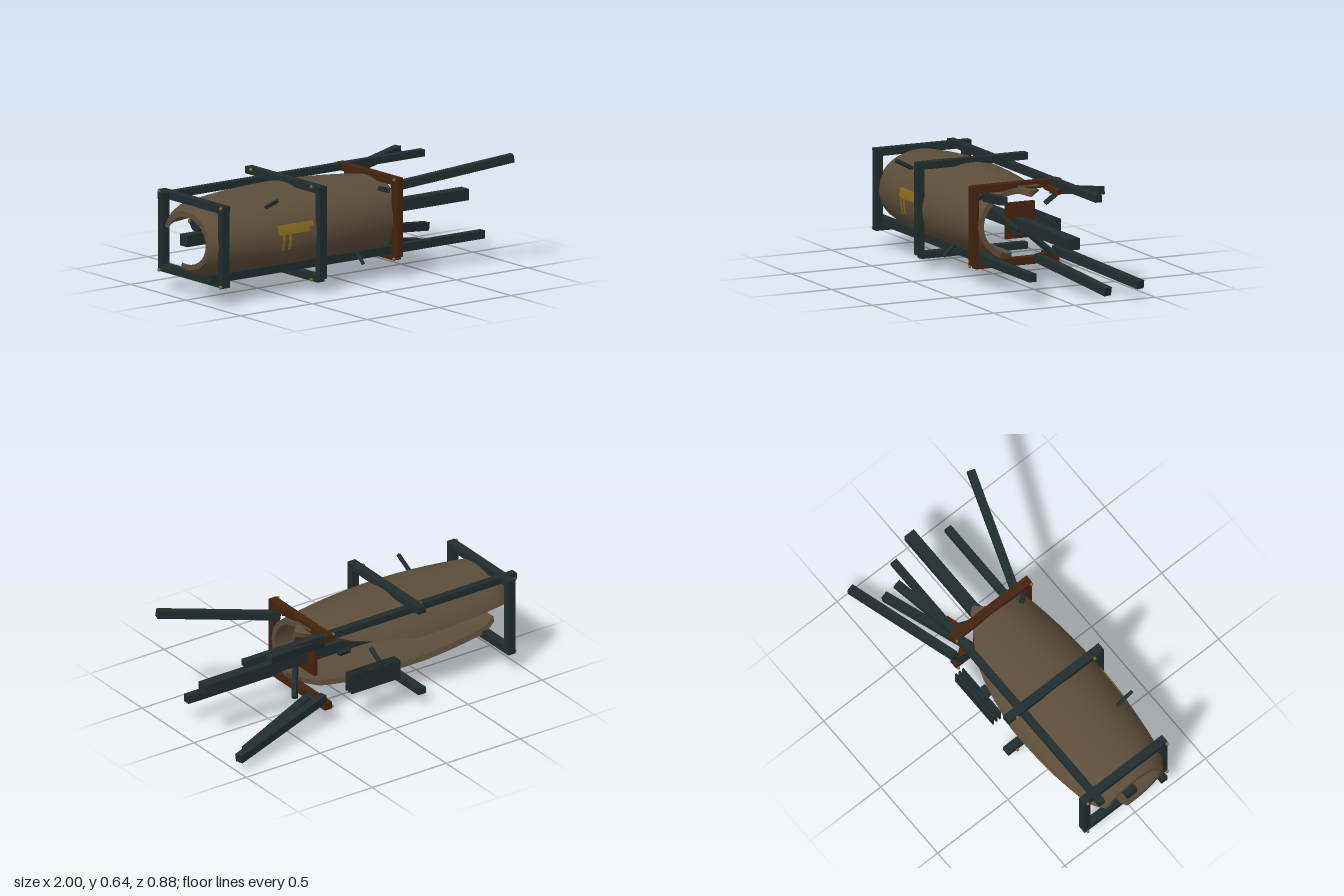
import * as THREE from 'three';
import { toCreasedNormals } from 'three/addons/utils/BufferGeometryUtils.js';

const material = (name, color, side = THREE.FrontSide) => {
  const m = new THREE.MeshStandardMaterial({ color, side });
  m.name = name;
  return m;
};

const RAD = Math.PI / 180;
const CENTRE_Y = 0.335;

// Linear interpolation through [x, value] pairs
function ramp(pairs, x) {
  for (let i = 1; i < pairs.length; i++) {
    const [x0, v0] = pairs[i - 1], [x1, v1] = pairs[i];
    if (x <= x1) return v0 + (v1 - v0) * Math.max(0, (x - x0) / (x1 - x0));
  }
  return pairs[pairs.length - 1][1];
}

// Point on the barrel hull; angle 0 faces +z and 90 degrees faces up
function hullPoint(x, angle, inset) {
  const t = (x + 0.33) / 0.65;
  const shrink = inset + Math.max(0, -0.93 - x) * 0.55;
  const rz = 0.305 - 0.065 * t * t - shrink;
  const ry = 0.245 - 0.045 * t * t - shrink;
  const c = Math.cos(angle * RAD);
  const bulge = c < 0 ? ramp([[-1, 1.03], [-0.9, 1.09], [-0.65, 1.1], [-0.3, 1.07], [0.1, 1.03], [0.3, 1]], x) : 1;
  return [x, CENTRE_Y + ry * Math.sin(angle * RAD), rz * c * bulge];
}

// Thick curved wall between two edge angles that vary along the length
function hullGeometry(xStart, xEnd, from, to, inner, outer, rows, cols) {
  const pos = [], index = [], ring = 2 * (cols + 1);
  for (let i = 0; i <= rows; i++) {
    const u = i / rows;
    const xMid = xStart + (xEnd(0) - xStart) * u;
    for (let j = 0; j < ring; j++) {
      const isOuter = j <= cols;
      const k = isOuter ? j : ring - 1 - j;
      const a = from(xMid) + (to(xMid) - from(xMid)) * k / cols;
      const x = xStart + (xEnd(a) - xStart) * u;
      pos.push(...hullPoint(x, a, isOuter ? outer : inner));
    }
  }
  for (let i = 0; i < rows; i++) {
    for (let j = 0; j < ring; j++) {
      const a = i * ring + j, b = i * ring + (j + 1) % ring;
      index.push(a, a + ring, b + ring, a, b + ring, b);
    }
  }
  const last = rows * ring;
  for (let k = 0; k < cols; k++) {
    const i0 = ring - 1 - k, i1 = ring - 2 - k;
    index.push(k, k + 1, i1, k, i1, i0);
    index.push(last + k, last + i1, last + k + 1, last + k, last + i0, last + i1);
  }
  const g = new THREE.BufferGeometry();
  g.setAttribute('position', new THREE.Float32BufferAttribute(pos, 3));
  g.setIndex(index);
  return toCreasedNormals(g, 40 * RAD);
}

export function createModel() {
  const model = new THREE.Group();
  model.name = 'wreckedHullSection';
  const metal = material('dark girder metal', 0x202c2d);
  const rust = material('rust', 0x44230e);
  const plating = material('brown plating', 0x5c4d3a, THREE.DoubleSide);
  const gold = material('gold paint', 0x866a1c);

  const add = (name, geometry, mat, parent = model) => {
    const mesh = new THREE.Mesh(geometry, mat);
    mesh.name = name;
    parent.add(mesh);
    return mesh;
  };
  // Box given by its lower and upper corners
  const block = (name, mat, a, b, parent) => {
    const mesh = add(name, new THREE.BoxGeometry(b[0] - a[0], b[1] - a[1], b[2] - a[2]), mat, parent);
    mesh.position.set((a[0] + b[0]) / 2, (a[1] + b[1]) / 2, (a[2] + b[2]) / 2);
    return mesh;
  };
  // Square bar between two points
  const beam = (name, mat, p, q, w) => {
    const a = new THREE.Vector3(...p), b = new THREE.Vector3(...q);
    const mesh = add(name, new THREE.BoxGeometry(a.distanceTo(b), w, w), mat);
    mesh.position.copy(a).lerp(b, 0.5);
    mesh.quaternion.setFromUnitVectors(new THREE.Vector3(1, 0, 0), b.sub(a).normalize());
    return mesh;
  };
  const bolt = (x, y, z) =>
    add('bolt', new THREE.SphereGeometry(0.01, 8, 6), gold).position.set(x, y, z);

  // Torn hull, open along the lower back, with a ragged tip at the broken end
  const lowerEdge = x => ramp([[-1, -104], [-0.5, -107], [0, -103], [0.17, -97], [0.305, -62]], x);
  const upperEdge = x => ramp([[-1, 162], [-0.3, 165], [0, 152], [0.1, 145], [0.2, 131], [0.305, 115]], x);
  const tornEnd = a => 0.305 + 0.055 * Math.exp(-(((a - 104) / 9) ** 2));
  add('hull', hullGeometry(-0.992, tornEnd, lowerEdge, upperEdge, 0.032, 0, 30, 40), plating);

  // Painted marking that follows the hull
  const marking = (x0, x1, a0, a1) => add('marking',
    hullGeometry(x0, () => x1, () => a0, () => a1, 0.001, -0.0025, 6, 4), gold);
  marking(-0.575, -0.34, 12, 19);
  marking(-0.575, -0.37, 6, 12);
  marking(-0.55, -0.535, -16, 6);
  marking(-0.51, -0.49, -15, 6);

  // Closed end frame
  const endFrame = new THREE.Group();
  endFrame.name = 'endFrame';
  model.add(endFrame);
  for (const y of [0.105, 0.525])
    block('crossBeam', metal, [-0.95, y, -0.318], [-0.9, y + 0.042, 0.272], endFrame);
  for (const z of [-0.297, 0.25])
    block('post', metal, [-0.949, 0.106, z - 0.021], [-0.901, 0.566, z + 0.021], endFrame);

  // Large middle frame, open at the back
  const midFrame = new THREE.Group();
  midFrame.name = 'middleFrame';
  model.add(midFrame);
  block('topBeam', metal, [-0.32, 0.565, -0.35], [-0.27, 0.605, 0.33], midFrame);
  block('bottomBeam', metal, [-0.32, 0.062, -0.35], [-0.27, 0.1, 0.31], midFrame);
  block('post', metal, [-0.319, 0.082, 0.29], [-0.271, 0.604, 0.331], midFrame);

  // Rusted frame at the broken end, with its back post snapped off
  const rustFrame = new THREE.Group();
  rustFrame.name = 'rustFrame';
  model.add(rustFrame);
  block('topBeam', rust, [0.25, 0.525, -0.27], [0.3, 0.567, 0.28], rustFrame);
  block('bottomBeam', rust, [0.25, 0.1, -0.26], [0.3, 0.142, 0.258], rustFrame);
  block('post', rust, [0.251, 0.12, 0.238], [0.299, 0.566, 0.281], rustFrame);
  block('scrapedStrip', plating, [0.3, 0.537, -0.13], [0.304, 0.549, 0], rustFrame);
  beam('snappedPost', rust, [0.28, 0.525, -0.18], [0.4, 0.51, -0.21], 0.025);
  beam('bentPost', rust, [0.275, 0.12, -0.22], [0.32, 0.165, -0.15], 0.03);

  // Long rails and central spine
  block('upperRail', metal, [-1, 0.528, -0.257], [0.83, 0.567, -0.215]);
  block('lowerRail', metal, [-1, 0.132, 0.188], [0.905, 0.178, 0.232]);
  block('spine', metal, [-1, 0.302, -0.053], [0.96, 0.367, 0.013]);
  block('bulkhead', rust, [0.25, 0.248, -0.12], [0.275, 0.45, 0.057]);

  // Splayed broken girders
  beam('splayedGirder', metal, [0.29, 0.5, 0.19], [0.958, 0.616, 0.417], 0.045);
  beam('splayedGirder', metal, [0.29, 0.51, -0.22], [0.715, 0.568, -0.31], 0.045);
  beam('splayedGirder', metal, [0.29, 0.135, -0.125], [0.852, 0.024, -0.283], 0.047);
  beam('splayedGirder', metal, [0.29, 0.17, -0.235], [0.99, 0.077, -0.415], 0.047);

  // Loose braces around the spine
  beam('brace', metal, [0.33, 0.31, -0.02], [0.43, 0.175, -0.155], 0.027);
  beam('brace', metal, [0.15, 0.445, 0.135], [0.34, 0.3, 0.02], 0.03);
  beam('brace', metal, [0.33, 0.3, 0.045], [0.41, 0.285, 0.025], 0.015);
  beam('brace', metal, [0.1, 0.366, 0.175], [0.1, 0.366, 0.02], 0.016);
  beam('brace', metal, [-0.11, 0.305, -0.12], [-0.11, 0.24, -0.24], 0.025);

  // Stacked radiator plates on the open side
  for (const z of [-0.328, -0.303, -0.279])
    block('radiatorPlate', metal, [-0.16, 0.195, z - 0.005], [0.17, 0.31, z + 0.005]);
  block('radiatorMount', metal, [-0.03, 0.23, -0.33], [0.03, 0.282, -0.235]);

  // Tank inside the far end
  const tank = add('tank', new THREE.CylinderGeometry(0.05, 0.05, 0.12, 20), metal);
  tank.rotation.z = Math.PI / 2;
  tank.position.set(-0.86, 0.425, -0.018);
  add('tankValve', new THREE.SphereGeometry(0.024, 12, 8), gold).position.set(-0.9, 0.425, -0.072);

  // Short rods sticking out of the plating
  beam('rod', metal, [-0.595, 0.505, 0.2], [-0.595, 0.56, 0.305], 0.018);
  beam('rod', metal, [0, 0.19, 0.24], [0, 0.125, 0.308], 0.018);
  beam('rod', metal, [0.18, 0.41, -0.23], [0.18, 0.475, -0.325], 0.025);
  beam('rod', metal, [0.21, 0.5, 0.17], [0.25, 0.49, 0.22], 0.025);

  // Corner bolts
  for (const y of [0.112, 0.558])
    for (const z of [-0.3, 0.262]) bolt(-0.956, y, z);
  for (const [y, z] of [[0.11, 0.268], [0.56, 0.27], [0.56, -0.26], [0.108, -0.25]]) bolt(0.244, y, z);
  for (const y of [0.07, 0.596])
    for (const z of [-0.29, 0.26]) bolt(-0.325, y, z);

  return model;
}
